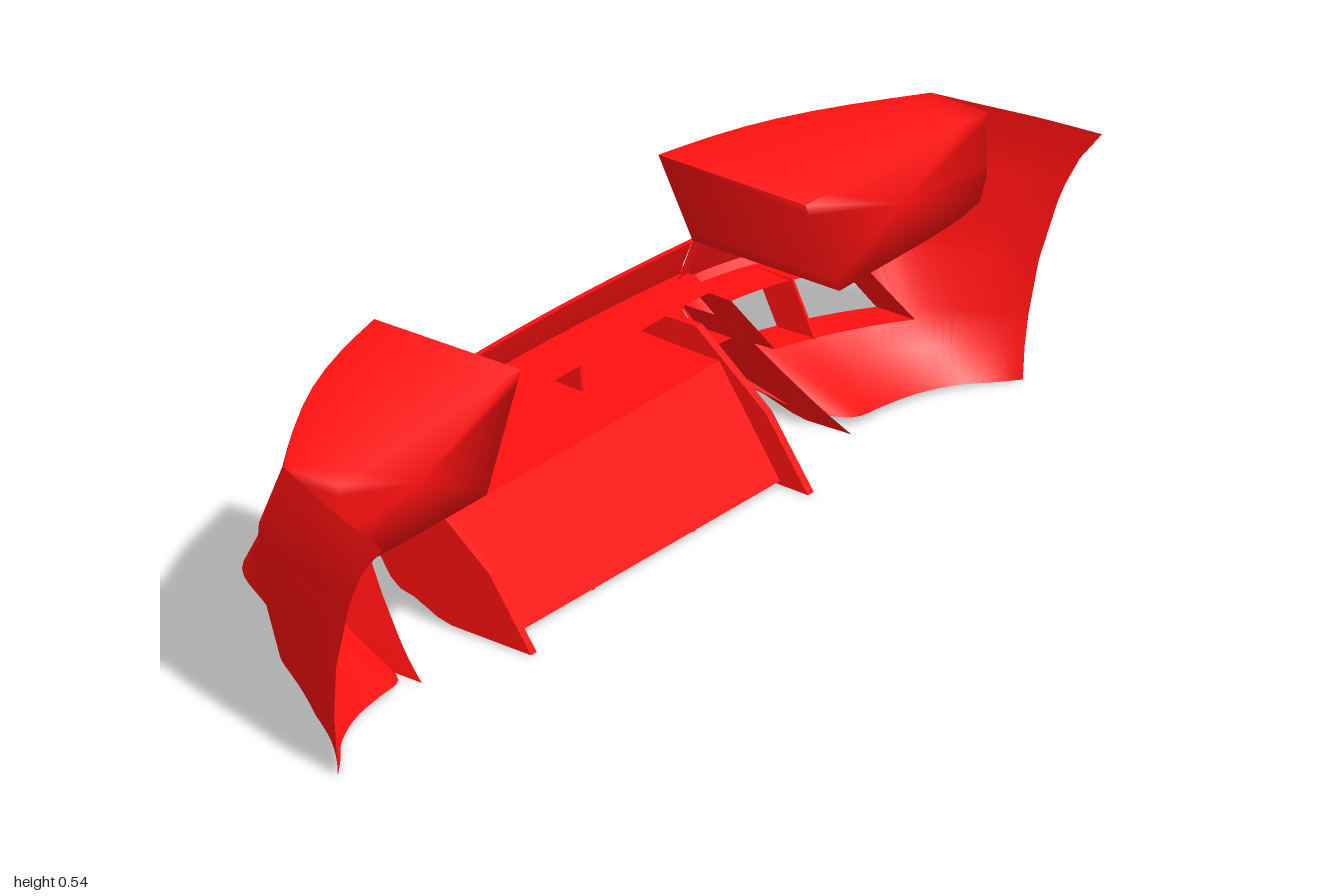
import * as THREE from 'three';
import { toCreasedNormals } from 'three/addons/utils/BufferGeometryUtils.js';

const V = (x, y, z) => new THREE.Vector3(x, y, z);
const lerp = THREE.MathUtils.lerp;
const red = new THREE.MeshStandardMaterial({ color: 0xff1010, side: THREE.DoubleSide });

// Surface through rows of points; skip(row, column) leaves an opening
function sheet(rows, crease = 0.6, skip = () => false) {
  const n = rows[0].length, pos = [], idx = [];
  rows.forEach(r => r.forEach(p => pos.push(p.x, p.y, p.z)));
  for (let r = 0; r < rows.length - 1; r++) {
    for (let c = 0; c < n - 1; c++) {
      if (skip(r, c)) continue;
      const a = r * n + c, b = a + n;
      idx.push(a, b, a + 1, a + 1, b, b + 1);
    }
  }
  const g = new THREE.BufferGeometry();
  g.setAttribute('position', new THREE.Float32BufferAttribute(pos, 3));
  g.setIndex(idx);
  return toCreasedNormals(g, crease);
}

function add(group, name, geometry) {
  const m = new THREE.Mesh(geometry, red);
  m.name = name;
  group.add(m);
}

// Smooth row through a few [x, y, z] points, four steps per span
const smooth = pts => new THREE.CatmullRomCurve3(pts.map(p => V(...p))).getPoints((pts.length - 1) * 4);

// Upright plate from a (z, y) outline
function plate(outline, x, thick) {
  const s = new THREE.Shape(outline.map(p => new THREE.Vector2(...p)));
  const g = new THREE.ExtrudeGeometry(s, { depth: thick, bevelEnabled: false });
  return g.rotateY(-Math.PI / 2).translate(x + thick / 2, 0, 0);
}

// Lower rear edge shared by the fins, as (z, y)
const finEdge = [[-.03, .008], [-.06, .015], [-.11, .038], [-.14, .045], [-.162, .062], [-.2, .12], [-.24, .2]];

function makeQuarter() {
  const q = new THREE.Group();

  // Corner skin: level height, then [x, z] from the inner rear edge to the wheel arch
  const levels = [
    [0.34, [[.5, -.2], [.56, -.19], [.69, -.158], [.8, -.115], [.88, -.07], [.913, 0], [.95, .1], [.987, .205]]],
    [0.232, [[.5, -.24], [.55, -.247], [.68, -.217], [.795, -.17], [.865, -.075], [.907, 0], [.944, .09], [.977, .175]]],
    [0.22, [[.5, -.24], [.54, -.238], [.67, -.205], [.785, -.135], [.865, -.06], [.905, .005], [.94, .09], [.976, .172]]],
    [0.12, [[.53, -.2], [.59, -.182], [.7, -.14], [.83, -.063], [.868, -.02], [.9, .035], [.935, .1], [.965, .159]]],
    [0.062, [[.56, -.16], [.615, -.07], [.71, -.05], [.79, -.02], [.845, .015], [.885, .055], [.92, .105], [.957, .157]]],
    [0.022, [[.59, -.04], [.632, .04], [.7, .05], [.77, .06], [.83, .08], [.87, .1], [.91, .13], [.952, .157]]],
  ];
  const rows = levels.map(([y, pts]) =>
    smooth(pts.map(([x, z], i) => [x, y < 0.03 ? y * (1 - i / 7) + 0.001 : y, z])));
  add(q, 'cornerSkin', sheet(rows, 0.6, (r, c) => r === 2 && c >= 4 && c < 12));

  // Side panel running up beside the lamp to the arch tip
  add(q, 'sidePanel', sheet([
    smooth([[.9, .518, 0], [.934, .508, .09], [.967, .499, .18], [1, .488, .29]]),
    smooth([[.901, .43, -.036], [.93, .43, .035], [.965, .43, .13], [.997, .43, .245]]),
    smooth([[.896, .38, -.056], [.921, .38, .012], [.957, .38, .11], [.991, .375, .218]]),
    rows[0].slice(16),
  ]));

  // Vent tunnel and its divider
  const top = rows[2].slice(4, 13), low = rows[3].slice(4, 13).reverse();
  const rim = [...top, ...low, top[0]];
  const deep = rim.map(p => V(p.x * 0.98 + 0.0137, lerp(p.y, 0.17, 0.06), p.z + 0.085));
  add(q, 'ventTunnel', sheet([rim, deep]));
  add(q, 'ventDivider', plate([[-.2, .22], [-.12, .22], [-.07, .12], [-.15, .12]], 0.67, 0.006));

  // Bridge from the vent to the diffuser
  add(q, 'bridge', sheet([
    [V(.385, .25, -.17), V(.5, .25, -.16)],
    [V(.385, .25, -.245), V(.5, .25, -.238)],
    [V(.385, .22, -.245), V(.5, .22, -.24)],
    [V(.4, .165, -.225), V(.515, .165, -.22)],
    [V(.4, .165, -.14), V(.515, .165, -.13)],
  ]));

  // Leaning fin on the inner edge of the lower corner
  const fin = finEdge.map(([z, y]) => [lerp(.597, .5, y / .22), y, z, lerp(.08, -.13, Math.min(1, y / .2) ** 0.8)]);
  add(q, 'cornerFin', sheet(fin.map(([x, y, z0, z1]) => [V(x, y, z0), V(x + .004, y, z1)])));

  // Lamp housing: point on its rear face, pushed forward by d
  const face = (u, v, d = 0) => V(
    lerp(.49 - .095 * v, .88 + .02 * Math.min(1, v * 4), u),
    lerp(.34 + .015 * u ** 8, .54 - .022 * u, v),
    lerp(-.195, -.07 + .07 * v, u) - .035 * Math.sin(Math.PI * u) + d);
  const N = 8;
  const around = [];
  for (let side = 0; side < 4; side++) {
    for (let i = 0; i < N; i++) {
      const t = i / N;
      around.push([[t, 0], [1, t], [1 - t, 1], [0, 1 - t]][side]);
    }
  }
  around.push(around[0]);
  // Recess floor: shallow at the inner end, deeper outward
  const floor = (u, v) => face(.05 + .91 * u, .07 + .85 * v, .025 + .03 * u);
  const outer = around.map(p => face(...p));
  const front = outer.map(p => V(p.x, p.y, .12));
  const centre = outer.map(() => V(.67, .435, .12));
  const mouth = around.map(([u, v]) => face(.05 + .91 * u, .07 + .85 * v));
  add(q, 'lampHousing', sheet([centre, front, outer], 1.7));
  add(q, 'lampRim', sheet([outer, mouth, around.map(p => floor(...p))]));
  add(q, 'lampRecess', sheet(Array.from({ length: N + 1 }, (_, j) =>
    Array.from({ length: N + 1 }, (_, i) => floor(i / N, j / N)))));

  // Two raised ribs in the lamp recess
  for (const u of [.69, .85]) {
    const strip = [[-.014, .052], [-.014, .03], [.014, .03], [.014, .052]];
    add(q, 'lampRib', sheet(strip.map(([du, d]) => [.07, .5, .92].map(v => face(u + du, v, d)))));
  }

  // Diffuser end plate
  add(q, 'diffuserEnd', plate([[.14, .003], ...finEdge, [-.24, .25], [-.1, .25], [.05, .13]], .385, .016));
  // Inner diffuser fin and the strut above it
  add(q, 'diffuserFin', plate([[.08, .01], ...finEdge, [-.05, .2]], .14, .006));
  add(q, 'diffuserStrut', plate([[-.16, .203], [-.24, .205], [-.24, .25], [-.165, .25]], .14, .006));
  return q;
}

export function createModel() {
  const model = new THREE.Group();
  model.name = 'rearBumper';

  // Bowed row across the middle
  const bow = (y, z, half = .5, bend = .025) => Array.from({ length: 25 }, (_, i) => {
    const x = (i / 12 - 1) * half;
    return V(x, y, z + bend * (x / .5) ** 2);
  });

  // Centre band with trailing lip and inner deck
  add(model, 'centreBand', sheet([
    bow(.34, -.215), bow(.34, -.225), bow(.265, -.255), bow(.26, -.258, .53), bow(.26, -.29, .53),
    bow(.25, -.29, .53), bow(.25, -.25, .53), bow(.25, -.165, .5, 0),
  ]));

  // Diffuser panel: steep face, then flat roof
  add(model, 'diffuserPanel', sheet([
    bow(.012, .08, .38, 0), bow(.11, .012, .38, 0), bow(.2, -.05, .38, 0),
    bow(.203, -.15, .38, 0), bow(.207, -.252, .38, .02),
  ]));

  const left = makeQuarter();
  left.name = 'leftSide';
  const right = makeQuarter();
  right.name = 'rightSide';
  right.scale.x = -1;
  model.add(left, right);
  return model;
}
